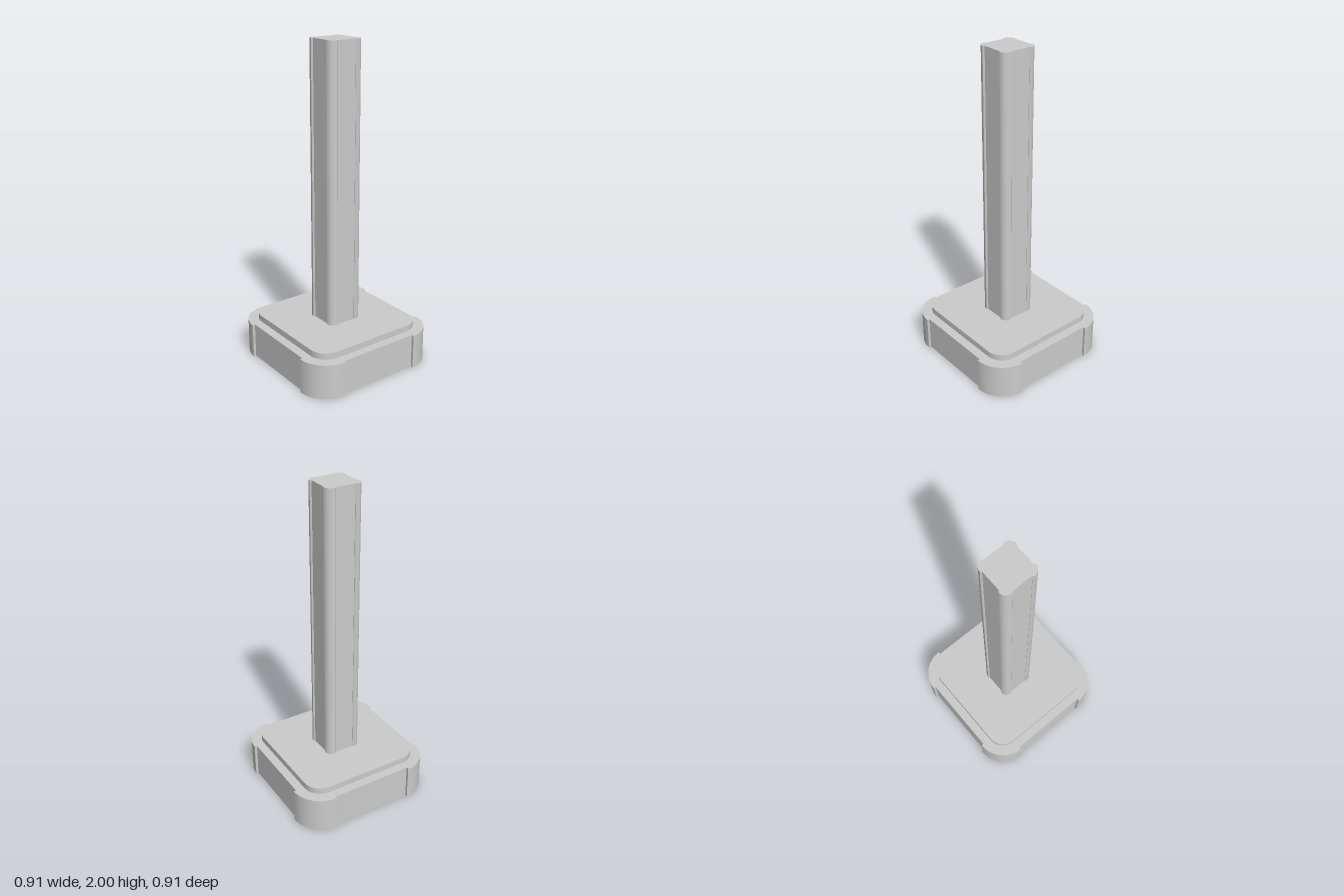
import * as THREE from 'three';
import { toCreasedNormals } from 'three/addons/utils/BufferGeometryUtils.js';

const material = new THREE.MeshStandardMaterial({ color: 0xcccccc });

// Rounded square whose four sides are set back between the corners.
// half: outer half width, radius: corner radius, recess: half width at the sides,
// gap: half length of the recessed side, nick: chamfer at the ends of each corner
function recessedSquare({ half, radius, recess = half, gap = half - radius, nick = 0 }) {
  const points = [];
  const centre = new THREE.Vector2();
  const arcCentre = half - radius;
  const steps = 24;
  for (let corner = 0; corner < 4; corner++) {
    const local = [];
    const stepped = recess < half;
    if (stepped) local.push([recess, gap]);
    if (nick > 0) local.push([half - nick, gap]);
    for (let i = 0; i <= steps; i++) {
      const a = (i / steps) * Math.PI / 2;
      local.push([arcCentre + radius * Math.cos(a), arcCentre + radius * Math.sin(a)]);
    }
    if (nick > 0) local.push([gap, half - nick]);
    if (stepped) local.push([gap, recess]);
    for (const [x, y] of local) {
      points.push(new THREE.Vector2(x, y).rotateAround(centre, corner * Math.PI / 2));
    }
  }
  return new THREE.Shape(points);
}

// Upright prism from a plan outline
function prism(name, outline, bottom, top) {
  const extruded = new THREE.ExtrudeGeometry(recessedSquare(outline), {
    depth: top - bottom, bevelEnabled: false,
  });
  extruded.rotateX(-Math.PI / 2).translate(0, bottom, 0);
  const mesh = new THREE.Mesh(toCreasedNormals(extruded, 0.4), material);
  mesh.name = name;
  return mesh;
}

export function createModel() {
  const group = new THREE.Group();
  group.name = 'pedestalPost';
  group.add(
    // Heavy foot with raised round corners
    prism('base', { half: 0.453, radius: 0.19, recess: 0.437, gap: 0.263 }, 0, 0.22),
    // Thin rounded plate on the foot
    prism('plinth', { half: 0.382, radius: 0.11 }, 0.22, 0.26),
    // Tall post with ribbed corners
    prism('post', { half: 0.118, radius: 0.047, recess: 0.109, gap: 0.064, nick: 0.007 }, 0.26, 2),
  );
  return group;
}
